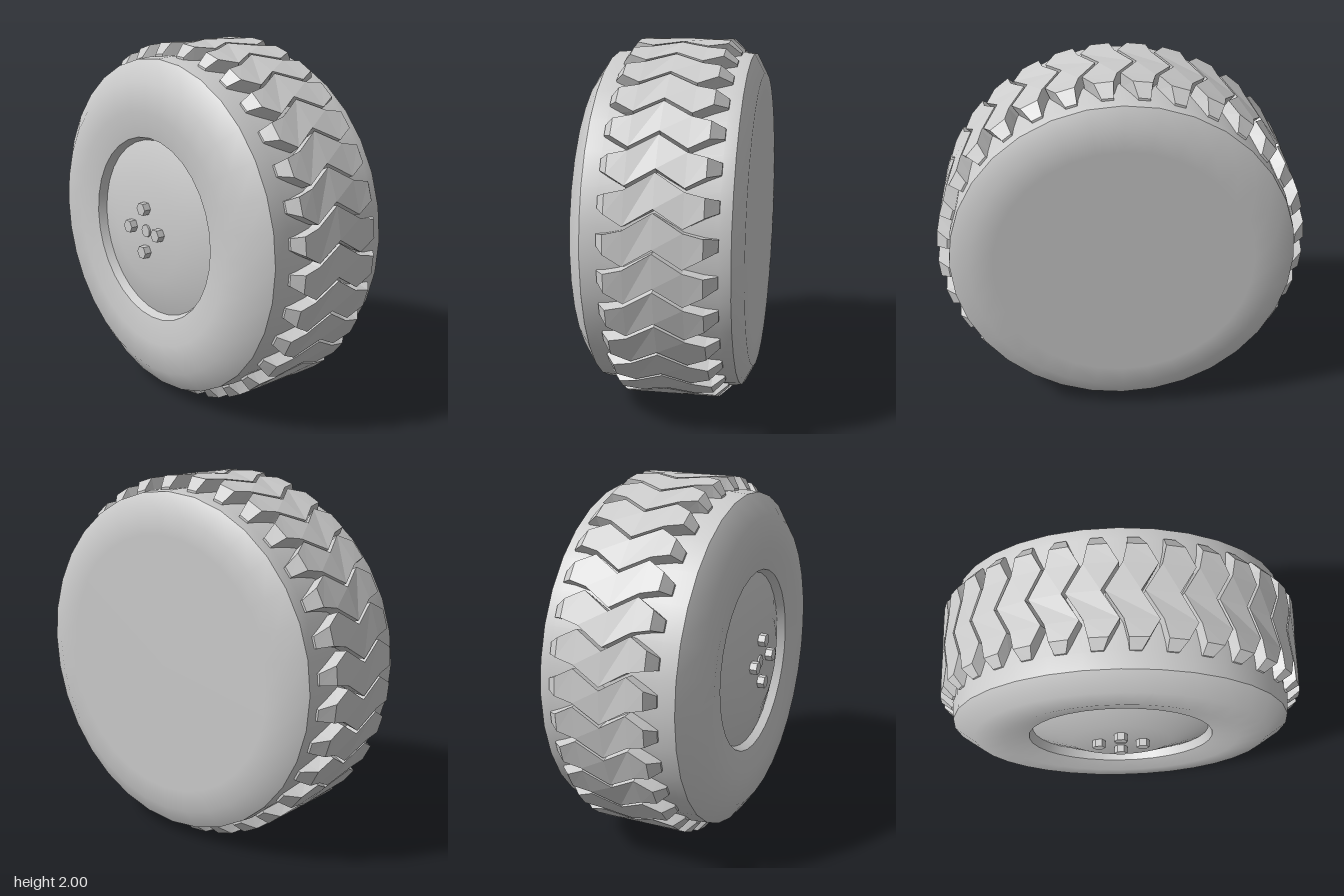
import * as THREE from 'three';

const SEGMENTS = 32;

export function createModel() {
  const wheel = new THREE.Group();
  wheel.name = 'wheel';
  const grey = new THREE.MeshStandardMaterial({ color: 0xcccccc });
  grey.name = 'grey';

  function add(name, geometry, parent = wheel) {
    const mesh = new THREE.Mesh(geometry, grey);
    mesh.name = name;
    parent.add(mesh);
    return mesh;
  }

  // Surfaces turned around the axle; profile points are [x, radius]
  function turned(name, profile) {
    const points = profile.map(([x, r]) => new THREE.Vector2(r, x));
    const geometry = new THREE.LatheGeometry(points, SEGMENTS);
    geometry.rotateZ(-Math.PI / 2);
    geometry.translate(0, 1, 0);
    add(name, geometry);
  }
  turned('hub', [[-0.43, 0], [-0.43, 0.28], [-0.36, 0.49]]);
  turned('rimWall', [[-0.36, 0.49], [-0.405, 0.51]]);
  turned('outerSidewall', [[-0.405, 0.51], [-0.43, 0.65], [-0.42, 0.81], [-0.34, 0.925]]);
  turned('tyreBand', [[-0.34, 0.925], [-0.25, 0.932], [0.35, 0.932], [0.41, 0.925]]);
  turned('innerSidewall', [[0.41, 0.925], [0.465, 0.82], [0.465, 0.7], [0.465, 0]]);

  // Hexagonal wheel nuts around a low centre cap
  const nuts = new THREE.Group();
  nuts.name = 'wheelNuts';
  wheel.add(nuts);
  for (let i = 0; i < 4; i++) {
    const a = (i * Math.PI) / 2;
    const nut = new THREE.CylinderGeometry(0.037, 0.037, 0.05, 6).toNonIndexed();
    nut.computeVertexNormals();
    nut.rotateZ(Math.PI / 2);
    nut.translate(-0.445, 1.005 + 0.122 * Math.cos(a), 0.122 * Math.sin(a));
    add('wheelNut', nut, nuts);
  }
  const cap = new THREE.CylinderGeometry(0.035, 0.035, 0.02, 12);
  cap.rotateZ(Math.PI / 2);
  cap.translate(-0.43, 1, 0);
  add('centreCap', cap);

  // Zigzag tread block: columns of [x, top radius, lower angle, upper angle]
  const columns = [
    [-0.25, 0.94, 0.085, 0.15],
    [-0.205, 1, 0.055, 0.155],
    [-0.11, 1, 0, 0.178],
    [0.037, 1, 0.09, 0.268],
    [0.185, 1, 0, 0.178],
    [0.285, 1, 0.055, 0.155],
    [0.35, 0.94, 0.085, 0.15],
  ];
  const floor = 0.915;
  function treadGeometry() {
    const positions = [];
    const point = (x, r, a) => [x, r * Math.sin(a), r * Math.cos(a)];
    const quad = (a, b, c, d) => positions.push(...a, ...b, ...c, ...a, ...c, ...d);
    const sections = columns.map(([x, r, lo, hi]) => ({
      lo: point(x, r, lo), hi: point(x, r, hi),
      baseLo: point(x, floor, lo), baseHi: point(x, floor, hi),
    }));
    for (let i = 0; i < sections.length - 1; i++) {
      const s = sections[i], t = sections[i + 1];
      quad(s.lo, t.lo, t.hi, s.hi);
      quad(s.baseLo, t.baseLo, t.lo, s.lo);
      quad(s.hi, t.hi, t.baseHi, s.baseHi);
    }
    const first = sections[0], last = sections[sections.length - 1];
    quad(first.lo, first.hi, first.baseHi, first.baseLo);
    quad(last.baseLo, last.baseHi, last.hi, last.lo);
    const geometry = new THREE.BufferGeometry();
    geometry.setAttribute('position', new THREE.Float32BufferAttribute(positions, 3));
    geometry.computeVertexNormals();
    return geometry;
  }
  const tread = new THREE.Group();
  tread.name = 'tread';
  tread.position.y = 1;
  wheel.add(tread);
  const block = treadGeometry();
  for (let i = 0; i < SEGMENTS; i++) {
    add('treadBlock', block, tread).rotation.x = (i * 2 * Math.PI) / SEGMENTS;
  }

  return wheel;
}
